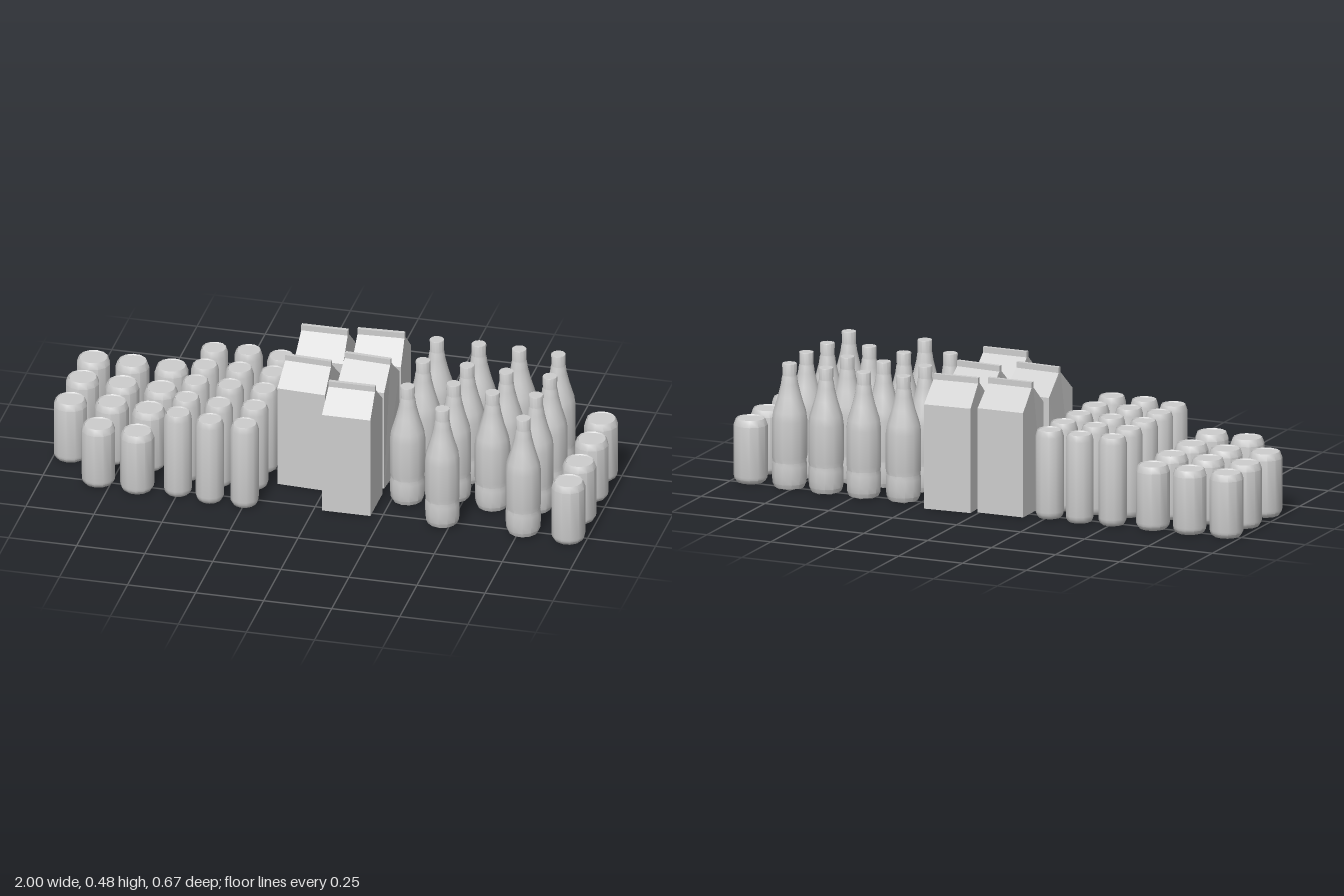
import * as THREE from 'three';
import { toCreasedNormals } from 'three/addons/utils/BufferGeometryUtils.js';

const SIDES = 12;
const grey = new THREE.MeshStandardMaterial({ color: 0xcccccc });
grey.name = 'plainGrey';

const lathe = (profile) =>
  new THREE.LatheGeometry(profile.map(([r, y]) => new THREE.Vector2(r, y)), SIDES);

// Drinks can: chamfered base, straight wall, tapered shoulder, slightly sunken lid
function canGeometry(r, h) {
  return toCreasedNormals(lathe([
    [0, 0.006], [r * 0.7, 0.006], [r * 0.77, 0], [r * 0.86, 0.004], [r * 0.97, 0.015], [r, 0.025],
    [r, h - 0.024], [r * 0.87, h - 0.002], [r * 0.85, h], [r * 0.8, h - 0.004], [0, h - 0.004],
  ]), 0.6);
}

// Bottle: footed base, pinched waist, long shoulder, neck and cap
function bottleGeometry() {
  const geo = lathe([
    [0, 0.012], [0.03, 0.008], [0.044, 0], [0.054, 0.006], [0.061, 0.022], [0.063, 0.05],
    [0.063, 0.085], [0.0605, 0.1], [0.0635, 0.118], [0.0635, 0.25], [0.059, 0.283],
    [0.042, 0.338], [0.031, 0.383], [0.0275, 0.408], [0.0255, 0.414],
    [0.0265, 0.456], [0.0255, 0.458], [0, 0.458],
  ]);
  // Raise every other base corner to leave feet
  const p = geo.attributes.position;
  for (let i = 0; i < p.count; i++) {
    if (p.getY(i) > 0.0001) continue;
    const step = Math.round(Math.atan2(p.getZ(i), p.getX(i)) / (Math.PI * 2 / SIDES));
    if (Math.abs(step) % 2 === 1) p.setY(i, 0.007);
  }
  return toCreasedNormals(geo, 0.6);
}

// Gable-top carton with its ridge along x and a sealed fin on top
function cartonGeometry() {
  const d = 0.089, fin = 0.0075;
  const shape = new THREE.Shape([
    [-d, 0], [d, 0], [d, 0.383], [fin, 0.456], [fin, 0.477], [-fin, 0.477], [-fin, 0.456], [-d, 0.383],
  ].map(([x, y]) => new THREE.Vector2(x, y)));
  const geo = new THREE.ExtrudeGeometry(shape, { depth: 0.178, bevelEnabled: false });
  geo.translate(0, 0, -0.089).rotateY(Math.PI / 2);
  // Lean the gable ends in a little
  const p = geo.attributes.position;
  for (let i = 0; i < p.count; i++) if (p.getY(i) > 0.4) p.setX(i, p.getX(i) * 0.96);
  geo.computeVertexNormals();
  return geo;
}

const SMALL_CANS = [
  [-0.94, -0.245], [-0.798, -0.25], [-0.654, -0.25],
  [-0.94, -0.087], [-0.793, -0.082], [-0.649, -0.079],
  [-0.94, 0.089], [-0.793, 0.071], [-0.652, 0.087],
  [-0.796, 0.252], [-0.649, 0.269],
  [0.93, -0.227], [0.935, -0.069], [0.935, 0.11], [0.935, 0.27],
];
const TALL_CANS = [
  [-0.499, -0.256], [-0.376, -0.269], [-0.253, -0.256],
  [-0.499, -0.122], [-0.374, -0.13], [-0.25, -0.13],
  [-0.502, 0.004], [-0.376, 0.004], [-0.25, 0.004],
  [-0.502, 0.137], [-0.379, 0.151], [-0.251, 0.14],
  [-0.502, 0.26], [-0.379, 0.282], [-0.251, 0.284],
];
const BOTTLES = [
  [0.319, -0.256], [0.472, -0.261], [0.621, -0.258], [0.766, -0.253],
  [0.311, -0.087], [0.472, -0.09], [0.619, -0.079], [0.779, -0.079],
  [0.306, 0.119], [0.461, 0.06], [0.611, 0.092], [0.766, 0.073],
  [0.469, 0.258], [0.766, 0.258],
];
// x, z, turn about y
const CARTONS = [
  [-0.082, -0.216, 0], [-0.08, 0.028, -0.06], [0.119, -0.24, 0.05],
  [0.121, -0.04, -0.07], [0.119, 0.183, 0],
];

export function createModel() {
  const model = new THREE.Group();
  model.name = 'drinksAssortment';

  const place = (name, geometry, spots) => {
    const group = new THREE.Group();
    group.name = name + 's';
    spots.forEach(([x, z, turn], i) => {
      const mesh = new THREE.Mesh(geometry, grey);
      mesh.name = name;
      mesh.position.set(x, 0, z);
      mesh.rotation.y = turn ?? i * 0.7;
      group.add(mesh);
    });
    model.add(group);
  };

  place('smallCan', canGeometry(0.061, 0.234), SMALL_CANS);
  place('tallCan', canGeometry(0.051, 0.322), TALL_CANS);
  place('bottle', bottleGeometry(), BOTTLES);
  place('carton', cartonGeometry(), CARTONS);
  return model;
}
